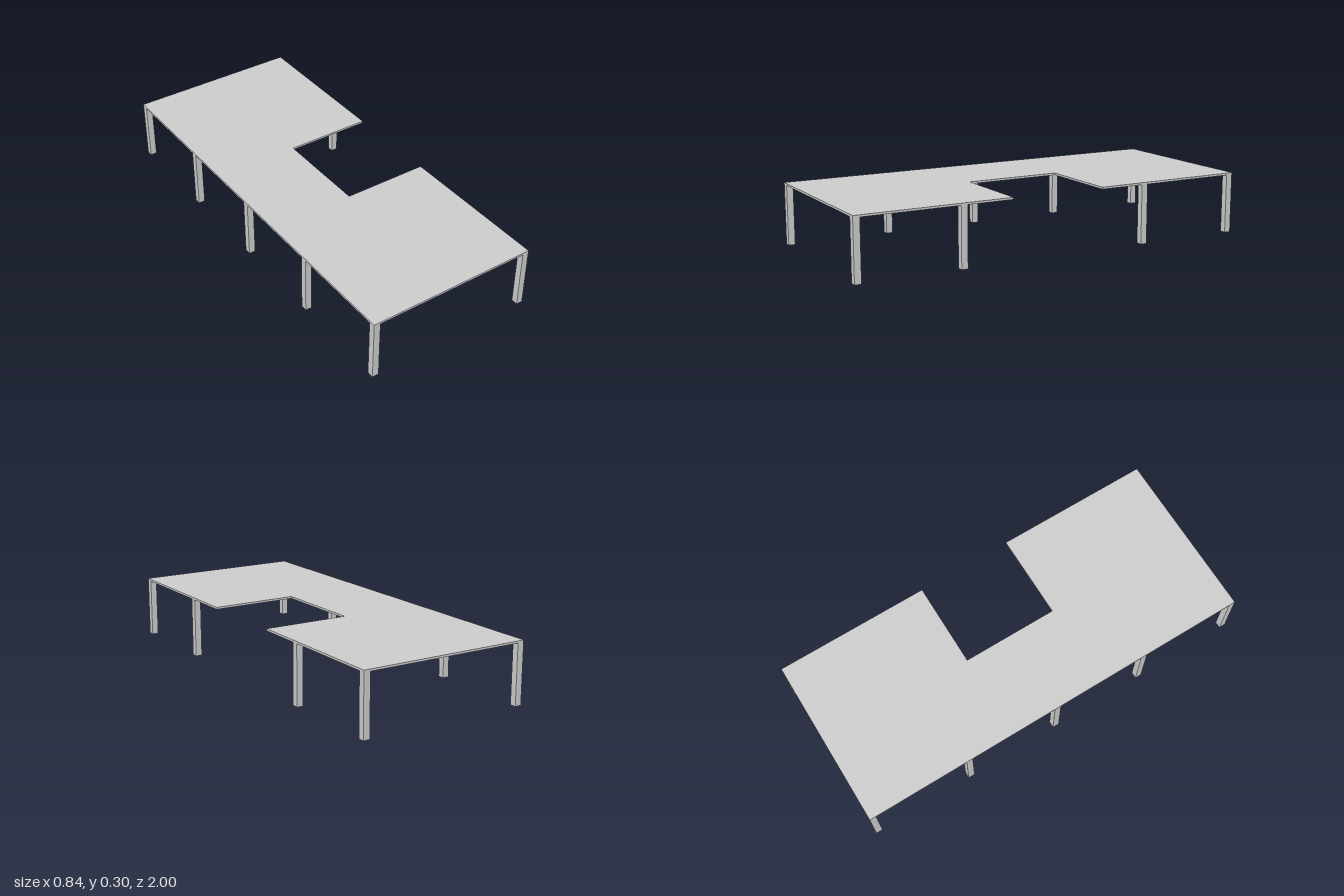
import * as THREE from 'three';

export function createModel() {
  const model = new THREE.Group();
  const material = new THREE.MeshStandardMaterial({ color: 0xcccccc });
  const halfX = 0.42, halfZ = 1, height = 0.298, thickness = 0.01, legSize = 0.032;

  // Table top with a rectangular cut-out in the +x side (drawn in x / -z, then laid flat)
  const outline = new THREE.Shape([
    [-halfX, -halfZ], [halfX, -halfZ], [halfX, -0.235], [0, -0.235],
    [0, 0.237], [halfX, 0.237], [halfX, halfZ], [-halfX, halfZ],
  ].map(([x, y]) => new THREE.Vector2(x, y)));
  const topGeometry = new THREE.ExtrudeGeometry(outline, { depth: thickness, bevelEnabled: false });
  topGeometry.rotateX(-Math.PI / 2);
  const top = new THREE.Mesh(topGeometry, material);
  top.name = 'tableTop';
  top.position.y = height - thickness;
  model.add(top);

  // Square legs: five along the straight side, four along the cut-out side
  const legHeight = height - thickness;
  const legGeometry = new THREE.BoxGeometry(legSize, legHeight, legSize);
  const legX = halfX - legSize / 2, endZ = halfZ - legSize / 2;
  const rows = [
    { name: 'leftLeg', x: legX, zs: [-endZ, -0.477, 0.48, endZ] },
    { name: 'rightLeg', x: -legX, zs: [-endZ, -0.477, 0, 0.48, endZ] },
  ];
  for (const { name, x, zs } of rows) {
    zs.forEach((z, i) => {
      const leg = new THREE.Mesh(legGeometry, material);
      leg.name = `${name}${i + 1}`;
      leg.position.set(x, legHeight / 2, z);
      model.add(leg);
    });
  }
  return model;
}
